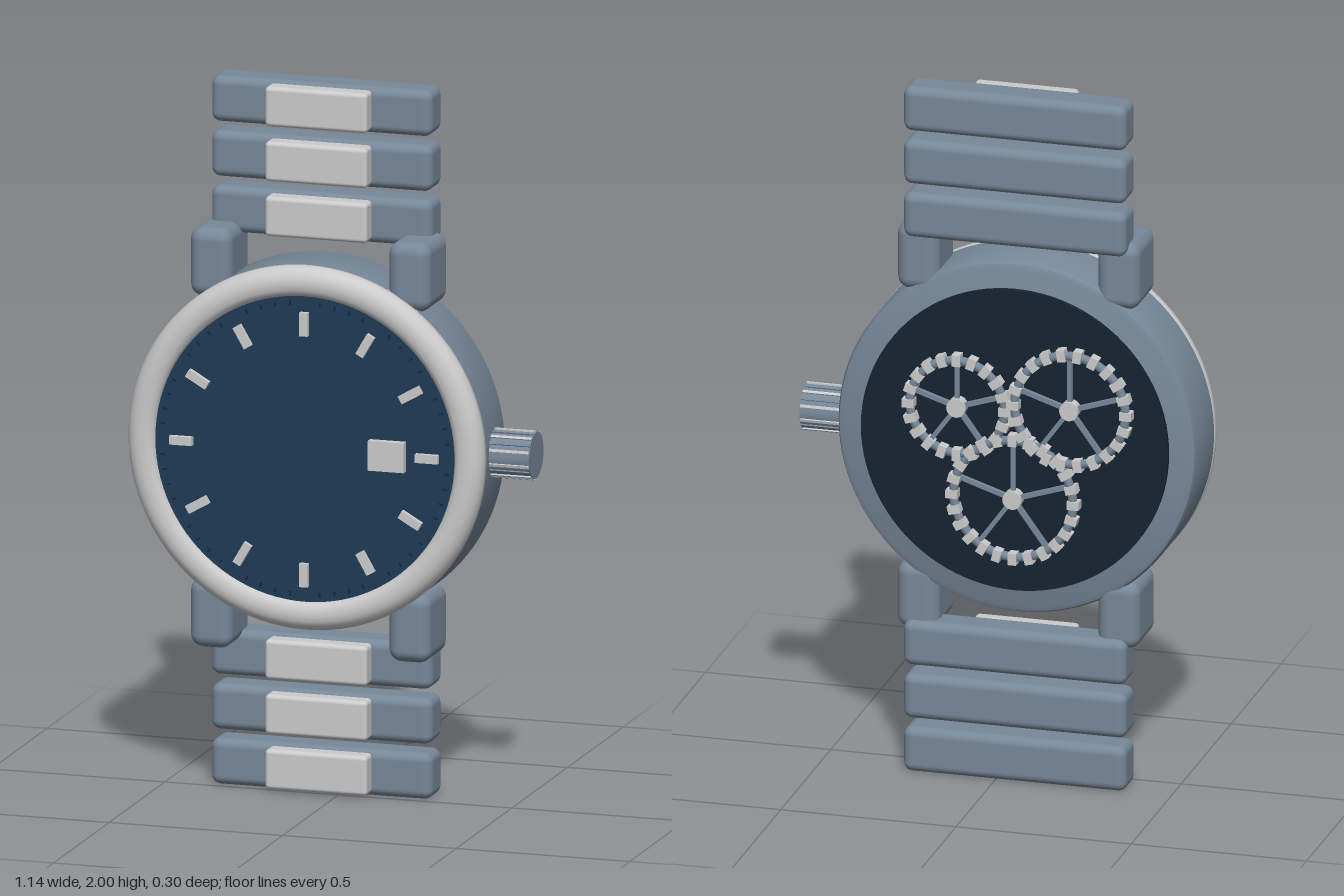
import * as THREE from 'three';
import { toCreasedNormals } from 'three/addons/utils/BufferGeometryUtils.js';
import { RoundedBoxGeometry } from 'three/addons/geometries/RoundedBoxGeometry.js';

const mat = (color) => new THREE.MeshStandardMaterial({ color });
const steel = mat(0x778899);
const silver = mat(0xdcdcdc);
const blue = mat(0x1f3a55);
const navy = mat(0x152331);

const CX = -0.057; // centre of the case
const CY = 1.0;

function add(parent, name, geometry, material, x = 0, y = 0, z = 0) {
  const mesh = new THREE.Mesh(geometry, material);
  mesh.name = name;
  mesh.position.set(x, y, z);
  parent.add(mesh);
  return mesh;
}

const rounded = (w, h, d, r) => new RoundedBoxGeometry(w, h, d, 4, r);

// Lathe turned so that its axis points to the front
function turned(points, crease) {
  const g = new THREE.LatheGeometry(points.map((p) => new THREE.Vector2(...p)), 96);
  g.rotateX(Math.PI / 2);
  return toCreasedNormals(g, crease);
}

const disc = (r, depth, segments = 96) =>
  new THREE.CylinderGeometry(r, r, depth, segments).rotateX(Math.PI / 2);

// Toothed wheel with rim, spokes and hub
function makeGear(name, x, y, z, radius, teeth) {
  const gear = new THREE.Group();
  gear.name = name;
  gear.position.set(x, y, z);
  const rim = radius - 0.02;
  add(gear, 'gearRim', new THREE.TorusGeometry(rim, 0.013, 10, 48), steel);
  for (let i = 0; i < teeth; i++) {
    const a = (i / teeth) * Math.PI * 2;
    const tooth = add(gear, 'gearTooth', new THREE.BoxGeometry(0.034, 0.024, 0.03), silver,
      Math.cos(a) * (rim + 0.003), Math.sin(a) * (rim + 0.003), 0);
    tooth.rotation.z = a;
  }
  for (let i = 0; i < 5; i++) {
    const a = Math.PI / 2 + (i / 5) * Math.PI * 2;
    const spoke = add(gear, 'gearSpoke', new THREE.BoxGeometry(rim, 0.013, 0.013), steel,
      Math.cos(a) * rim / 2, Math.sin(a) * rim / 2, 0);
    spoke.rotation.z = a;
  }
  add(gear, 'gearHub', disc(0.027, 0.032, 20), silver);
  return gear;
}

export function createModel() {
  const watch = new THREE.Group();
  watch.name = 'wristwatch';

  const head = new THREE.Group();
  head.name = 'watchHead';
  head.position.set(CX, CY, 0);
  watch.add(head);

  // Case body with softened edges
  add(head, 'case', turned([
    [0, -0.097], [0.492, -0.097], [0.506, -0.091], [0.512, -0.078],
    [0.512, 0.087], [0, 0.087],
  ], 0.5), steel);

  // Rounded bezel ring
  add(head, 'bezel', turned([
    [0.43, 0.086], [0.508, 0.086], [0.513, 0.092], [0.513, 0.108], [0.507, 0.122],
    [0.497, 0.133], [0.484, 0.14], [0.468, 0.142], [0.45, 0.14], [0.438, 0.133],
    [0.431, 0.122], [0.43, 0.086],
  ], 0.7), silver);

  // Dial with hour and minute marks
  add(head, 'dial', disc(0.435, 0.04), blue, 0, 0, 0.102);
  for (let i = 0; i < 60; i++) {
    const a = (i / 60) * Math.PI * 2;
    const hour = i % 5 === 0;
    const r = hour ? 0.354 : 0.412;
    const geometry = hour
      ? new THREE.BoxGeometry(0.066, 0.024, 0.018)
      : new THREE.BoxGeometry(0.012, 0.004, 0.004);
    const mark = add(head, hour ? 'hourMark' : 'minuteMark', geometry, hour ? silver : navy,
      Math.cos(a) * r, Math.sin(a) * r, hour ? 0.129 : 0.123);
    mark.rotation.z = a;
  }
  add(head, 'dateWindow', new THREE.BoxGeometry(0.104, 0.084, 0.024), silver, 0.24, 0, 0.133);

  // Back plate and exposed gear train
  add(head, 'backPlate', disc(0.438, 0.013), navy, 0, 0, -0.109);
  add(head, 'backPlateSeat', disc(0.40, 0.012), navy, 0, 0, -0.1);
  watch.add(makeGear('leftGear', 0.1, 1.09, -0.137, 0.155, 20));
  watch.add(makeGear('rightGear', -0.222, 1.112, -0.137, 0.178, 22));
  watch.add(makeGear('lowerGear', -0.06, 0.837, -0.137, 0.19, 24));

  // Fluted crown
  const crown = new THREE.Group();
  crown.name = 'crown';
  crown.position.set(0.505, CY, -0.002);
  watch.add(crown);
  add(crown, 'crownBody', new THREE.CylinderGeometry(0.065, 0.065, 0.13, 40).rotateZ(Math.PI / 2), steel);
  for (let i = 0; i < 20; i++) {
    const a = (i / 20) * Math.PI * 2;
    const ridge = add(crown, 'crownRidge', new THREE.BoxGeometry(0.126, 0.008, 0.008),
      i % 2 ? steel : silver, 0, Math.cos(a) * 0.065, Math.sin(a) * 0.065);
    ridge.rotation.x = a;
  }

  // Lugs and bracelet, mirrored above and below the case
  for (const side of [1, -1]) {
    for (const dx of [-0.286, 0.286]) {
      add(watch, 'lug', rounded(0.12, 0.195, 0.19, 0.035), steel, CX + dx, CY + side * 0.495, 0);
    }
    for (const dy of [0.625, 0.78, 0.935]) {
      add(watch, 'braceletLink', rounded(0.636, 0.13, 0.108, 0.025), steel, CX + 0.002, CY + side * dy, -0.064);
      add(watch, 'centreLink', rounded(0.294, 0.112, 0.06, 0.012), silver, CX + 0.002, CY + side * dy, 0.004);
    }
  }
  return watch;
}
